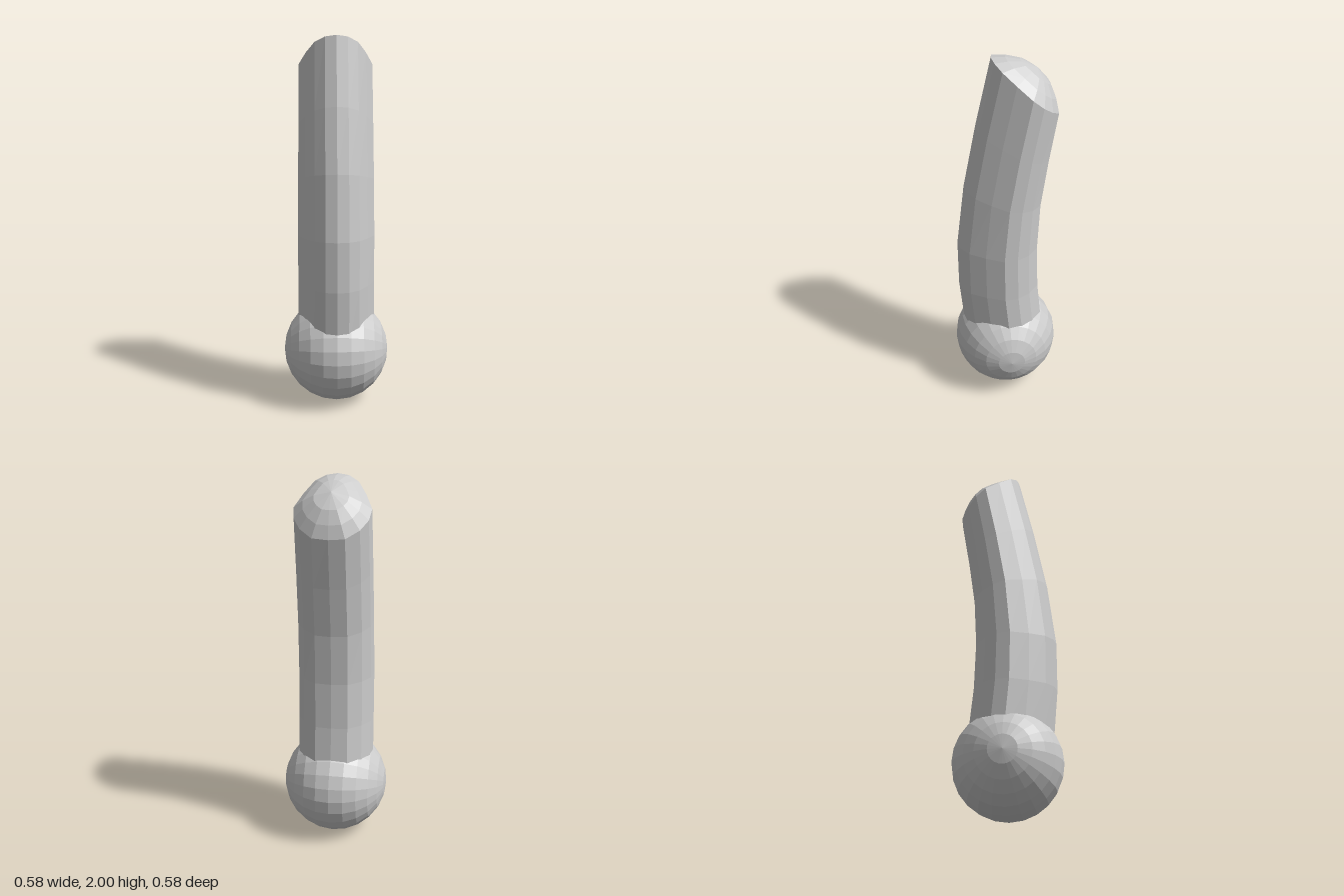
import * as THREE from 'three';

// Egg-shaped half section, from front (w = 1) to back (w = -1): [x, w]
const HALF = [[0, 1], [0.3, 0.94], [0.57, 0.75], [0.8, 0.37], [1, -0.07],
  [0.95, -0.4], [0.76, -0.7], [0.42, -0.96], [0, -1]];
const SECTION = [...HALF, ...HALF.slice(1, 8).reverse().map(([x, w]) => [-x, w])];

// Levels of the bent shaft: front z, front y, back z, back y, half width
const LEVELS = [
  [0.235, 0.38, -0.208, 0.38, 0.211],
  [0.262, 0.68, -0.178, 0.68, 0.208],
  [0.263, 0.95, -0.17, 0.93, 0.207],
  [0.22, 1.3, -0.183, 1.2, 0.204],
  [0.153, 1.64, -0.219, 1.46, 0.201],
  [0.07, 2.0, -0.262, 1.72, 0.198],
];

function ring([fz, fy, bz, by, hw]) {
  return SECTION.map(([x, w]) => {
    const t = (1 - w) / 2;
    return new THREE.Vector3(x * hw, fy + (by - fy) * t, fz + (bz - fz) * t);
  });
}

// Joins consecutive rings of equal length with quads facing outward
function loft(rings) {
  const n = rings[0].length;
  const index = [];
  for (let r = 0; r < rings.length - 1; r++) {
    for (let i = 0; i < n; i++) {
      const j = (i + 1) % n;
      const a = r * n + i, b = r * n + j;
      index.push(a, b, b + n, a, b + n, a + n);
    }
  }
  const geometry = new THREE.BufferGeometry().setFromPoints(rings.flat());
  geometry.setIndex(index);
  geometry.computeVertexNormals();
  return geometry;
}

export function createModel() {
  const group = new THREE.Group();
  const material = new THREE.MeshStandardMaterial({
    color: 0xcccccc, flatShading: true, side: THREE.DoubleSide,
  });
  const add = (name, geometry) => {
    const mesh = new THREE.Mesh(geometry, material);
    mesh.name = name;
    group.add(mesh);
    return mesh;
  };

  // Round base with its poles on the x axis
  const ball = add('ballBase', new THREE.SphereGeometry(0.288, 24, 12));
  ball.rotation.z = Math.PI / 2;
  ball.position.y = 0.288;

  // Curved shaft
  const rings = LEVELS.map(ring);
  add('shaft', loft(rings));

  // Low dome over the slanted end
  const rim = rings[rings.length - 1];
  const centre = rim[0].clone().add(rim[8]).multiplyScalar(0.5);
  const up = new THREE.Vector3(0, 0.774, -0.634);
  const dome = [1, 0.75, 0.45, 0].map((t) => rim.map((p) =>
    centre.clone().lerp(p, t).addScaledVector(up, 0.1 * (1 - t * t))));
  add('domedEnd', loft(dome));

  return group;
}
